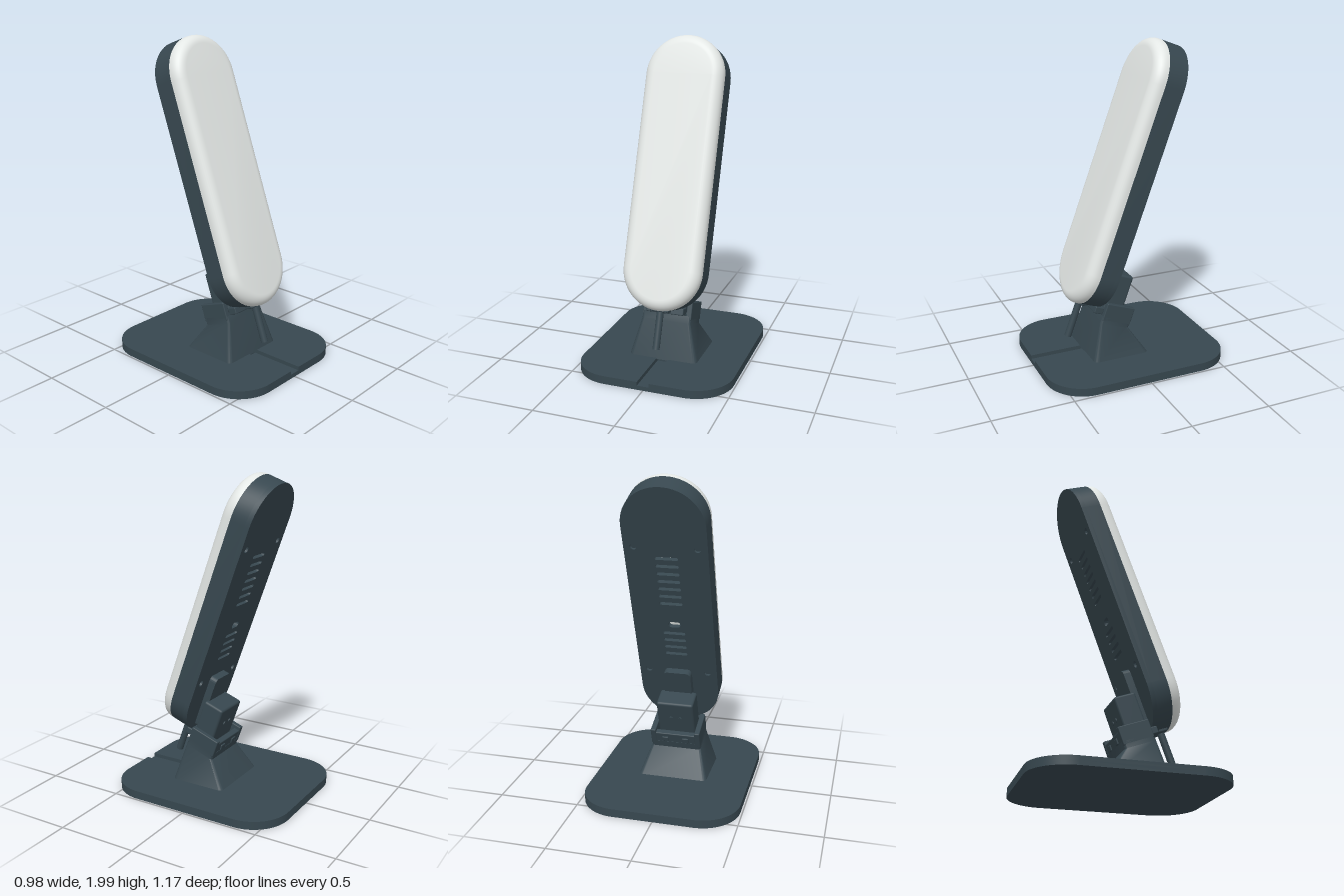
import * as THREE from 'three';
import { toCreasedNormals } from 'three/addons/utils/BufferGeometryUtils.js';
import { RoundedBoxGeometry } from 'three/addons/geometries/RoundedBoxGeometry.js';

const TILT = THREE.MathUtils.degToRad(20);
const C = Math.cos(TILT), S = Math.sin(TILT);
// head outline in the tilted frame: y runs up the head, z out of its face
const R = 0.25, Y0 = 0.265 + R, Y1 = 1.957 - R;

// skin over equal-length loops, closed at both ends
function loft(loops) {
  const n = loops[0].length, pos = [], idx = [];
  loops.forEach(l => l.forEach(p => pos.push(p.x, p.y, p.z)));
  for (let k = 0; k < loops.length - 1; k++) for (let i = 0; i < n; i++) {
    const a = k * n + i, b = k * n + (i + 1) % n;
    idx.push(a, b, b + n, a, b + n, a + n);
  }
  const last = (loops.length - 1) * n;
  for (let i = 1; i < n - 1; i++) idx.push(0, i + 1, i, last, last + i, last + i + 1);
  const g = new THREE.BufferGeometry();
  g.setAttribute('position', new THREE.Float32BufferAttribute(pos, 3));
  g.setIndex(idx);
  return toCreasedNormals(g, 0.6);
}

// pill outline of radius r about the two head centres
function pillPoints(r, seg = 28) {
  const pts = [];
  for (const [cy, a0] of [[Y1, 0], [Y0, Math.PI]])
    for (let i = 0; i <= seg; i++) {
      const a = a0 + Math.PI * i / seg;
      pts.push(new THREE.Vector2(r * Math.cos(a), cy + r * Math.sin(a)));
    }
  return pts;
}

function rectShape(x0, x1, y0, y1, r, T = THREE.Shape) {
  const s = new T(), H = Math.PI / 2;
  s.absarc(x1 - r, y0 + r, r, -H, 0);
  s.absarc(x1 - r, y1 - r, r, 0, H);
  s.absarc(x0 + r, y1 - r, r, H, 2 * H);
  s.absarc(x0 + r, y0 + r, r, 2 * H, 3 * H);
  s.closePath();
  return s;
}

const extrude = (shape, depth) =>
  toCreasedNormals(new THREE.ExtrudeGeometry(shape, { depth, bevelEnabled: false, curveSegments: 16 }), 0.6);

export function createModel() {
  const model = new THREE.Group();
  const dark = new THREE.MeshStandardMaterial({ color: 0x37474f });
  dark.name = 'slate plastic';
  const light = new THREE.MeshStandardMaterial({ color: 0xe3e7e5 });
  light.name = 'white diffuser';

  const add = (parent, name, geo, mat = dark) => {
    const m = new THREE.Mesh(geo, mat);
    m.name = name;
    parent.add(m);
    return m;
  };

  // base plate: full lower layer, upper layer cut by the cable groove
  const W = 0.488, D = 0.585, CR = 0.24, G = 0.037, GE = -0.24;
  const lower = extrude(rectShape(-W, W, -D, D, CR), 0.027);
  lower.rotateX(-Math.PI / 2);
  add(model, 'baseLower', lower);
  const H = Math.PI / 2, top = new THREE.Shape();
  top.moveTo(G, GE);
  top.lineTo(G, -D);
  top.absarc(W - CR, -D + CR, CR, -H, 0);
  top.absarc(W - CR, D - CR, CR, 0, H);
  top.absarc(-W + CR, D - CR, CR, H, 2 * H);
  top.absarc(-W + CR, -D + CR, CR, 2 * H, 3 * H);
  top.lineTo(-G, -D);
  top.lineTo(-G, GE);
  const upper = extrude(top, 0.024);
  upper.rotateX(-Math.PI / 2);
  upper.translate(0, 0.027, 0);
  add(model, 'baseUpper', upper);

  // foot: flared from the base to a tilted neck
  const section = (w, zb, yb, zf, yf, r) =>
    rectShape(-w, w, -zf, -zb, r).extractPoints(5).shape.slice(0, -1).map(p => {
      const z = -p.y;
      return new THREE.Vector3(p.x, yb + (yf - yb) * (z - zb) / (zf - zb), z);
    });
  const tilted = (u, n) => [-S * u + C * n, C * u + S * n];
  add(model, 'foot', loft([
    section(0.222, -0.112, 0.045, 0.256, 0.045, 0.03),
    section(0.16, ...tilted(0.2, 0.074), ...tilted(0.2, 0.275), 0.018),
    section(0.16, ...tilted(0.245, 0.074), ...tilted(0.245, 0.273), 0.018),
  ]));

  // everything below leans back
  const head = new THREE.Group();
  head.name = 'tiltedHead';
  head.rotation.x = -TILT;
  model.add(head);
  const box = (name, x0, x1, y0, y1, z0, z1, r = 0.006) => {
    const g = new RoundedBoxGeometry(x1 - x0, y1 - y0, z1 - z0, 2, r);
    g.translate((x0 + x1) / 2, (y0 + y1) / 2, (z0 + z1) / 2);
    return add(head, name, g);
  };

  // hinge
  for (const s of [-1, 1])
    box('hingeArm', s > 0 ? 0.126 : -0.16, s > 0 ? 0.16 : -0.126, 0.22, 0.333, 0.074, 0.27);
  box('hingeBackWall', -0.13, 0.13, 0.22, 0.31, 0.076, 0.115);
  box('hingeBlock', -0.118, 0.118, 0.26, 0.519, 0.131, 0.268, 0.014);
  box('hingeBar', -0.122, 0.122, 0.246, 0.29, 0.262, 0.322);
  for (const s of [-1, 1]) {
    const pin = add(head, 'hingeScrew', new THREE.CylinderGeometry(0.013, 0.013, 0.008, 16));
    pin.rotation.x = H;
    pin.position.set(s * 0.03, 0.4, 0.129);
    box('hingeLug', s * 0.065 - 0.02, s * 0.065 + 0.02, 0.25, 0.285, 0.068, 0.08, 0.004);
  }

  // mounting plate behind the head
  const plate = extrude(rectShape(-0.088, 0.088, 0.3, 0.676, 0.03), 0.05);
  plate.translate(0, 0, 0.251);
  add(head, 'mountPlate', plate);

  // back panel with vents, socket and screw holes
  const panel = new THREE.Shape(pillPoints(R));
  const slot = (x0, x1, y, h) => panel.holes.push(rectShape(x0, x1, y - h / 2, y + h / 2, h * 0.45, THREE.Path));
  for (let i = 0; i < 7; i++) slot(-0.07, 0.07, 1.18 + i * 0.053, 0.02);
  for (let i = 0; i < 4; i++) slot(-0.07, 0.07, 0.8 + i * 0.053, 0.02);
  slot(-0.045, 0.03, 1.025, 0.04);
  for (const x of [-0.19, 0.19]) for (const y of [0.66, 1.57]) {
    panel.holes.push(new THREE.Path().absarc(x, y, 0.02, 0, Math.PI * 2));
    const screw = add(head, 'caseScrew', new THREE.CylinderGeometry(0.021, 0.021, 0.02, 16));
    screw.rotation.x = H;
    screw.position.set(x, y, 0.322);
  }
  const back = extrude(panel, 0.03);
  back.translate(0, 0, 0.297);
  add(head, 'backPanel', back);

  // side wall
  const ring = new THREE.Shape(pillPoints(R));
  ring.holes.push(new THREE.Path(pillPoints(R - 0.02)));
  const wall = extrude(ring, 0.099);
  wall.translate(0, 0, 0.326);
  add(head, 'sideWall', wall);

  // diffuser with rounded front edge
  const rings = [pillPoints(R).map(p => new THREE.Vector3(p.x, p.y, 0.425))];
  const F = 0.065;
  for (let i = 0; i <= 8; i++) {
    const a = H * i / 8;
    rings.push(pillPoints(R - F + F * Math.cos(a)).map(p => new THREE.Vector3(p.x, p.y, 0.44 + F * Math.sin(a))));
  }
  add(head, 'diffuser', loft(rings), light);

  // cable and its plug under the head
  const cable = add(head, 'cable', new THREE.CylinderGeometry(0.022, 0.022, 0.25, 24));
  cable.position.set(-0.005, 0.153, 0.382);
  box('cablePlug', -0.065, 0.055, 0.258, 0.3, 0.35, 0.41);

  return model;
}
